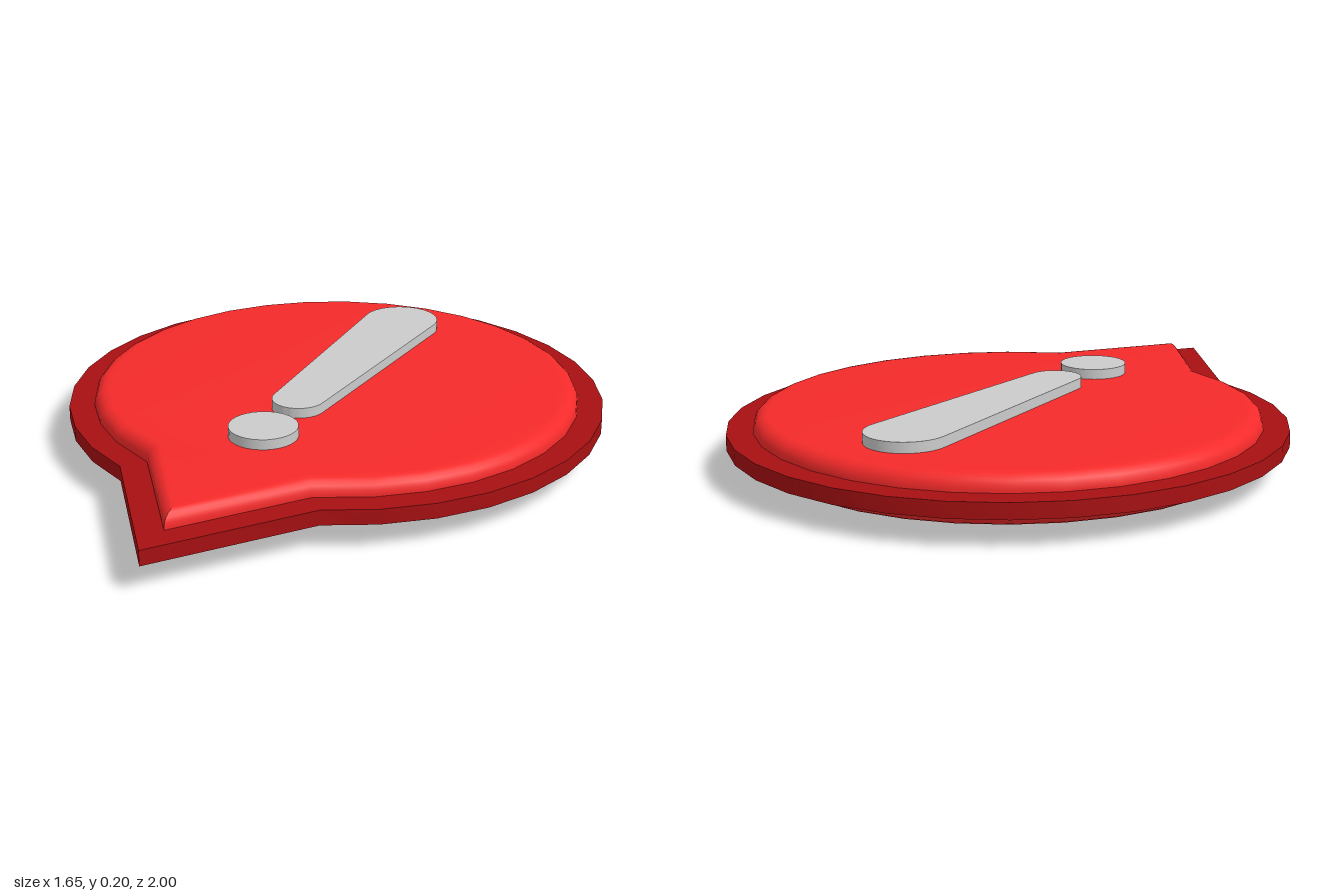
import * as THREE from 'three';
import { toCreasedNormals } from 'three/addons/utils/BufferGeometryUtils.js';

const MID_Y = 0.1025;  // all layers share this middle plane
const CENTRE_Z = -0.176;

// Round badge outline with a pointed tail, drawn in x and z
function badgeShape(radius, neckX, neckZ, tipZ) {
  const pts = [new THREE.Vector2(0, tipZ), new THREE.Vector2(neckX, neckZ)];
  for (let i = 3; i <= 29; i++) {
    const a = (i / 32) * Math.PI * 2;
    pts.push(new THREE.Vector2(Math.sin(a) * radius, CENTRE_Z + Math.cos(a) * radius));
  }
  pts.push(new THREE.Vector2(-neckX, neckZ));
  return new THREE.Shape(pts);
}

// Flat slab lying in the xz plane, with optional rounded edges
function slab(name, shape, height, color, round = 0) {
  let geo = new THREE.ExtrudeGeometry(shape, {
    depth: height - 2 * round,
    curveSegments: 16,
    bevelEnabled: round > 0,
    bevelThickness: round,
    bevelSize: round,
    bevelOffset: -round,
    bevelSegments: 5,
  });
  geo.translate(0, 0, round - height / 2);
  geo.rotateX(Math.PI / 2);
  geo.translate(0, MID_Y, 0);
  geo = toCreasedNormals(geo, 0.55);
  const mesh = new THREE.Mesh(geo, new THREE.MeshStandardMaterial({ color }));
  mesh.name = name;
  return mesh;
}

export function createModel() {
  const group = new THREE.Group();
  group.name = 'alertMarker';

  // Thin dark rim and thicker rounded body
  group.add(slab('rim', badgeShape(0.824, 0.315, 0.585, 1), 0.046, 0xa81012));
  group.add(slab('body', badgeShape(0.747, 0.262, 0.525, 0.873), 0.143, 0xf52a2a, 0.043));

  // Tapered bar with round ends, passing through the body
  const bar = new THREE.Shape();
  bar.absarc(0, 0.083, 0.08, 0.05, Math.PI - 0.05, false);
  bar.absarc(0, -0.678, 0.12, Math.PI - 0.05, Math.PI * 2 + 0.05, false);
  bar.closePath();
  group.add(slab('markBar', bar, 0.205, 0xcccccc));

  // Round dot below the bar
  const dot = new THREE.Shape();
  dot.absarc(0, 0.31, 0.102, 0, Math.PI * 2, false);
  group.add(slab('markDot', dot, 0.205, 0xcccccc));

  return group;
}
